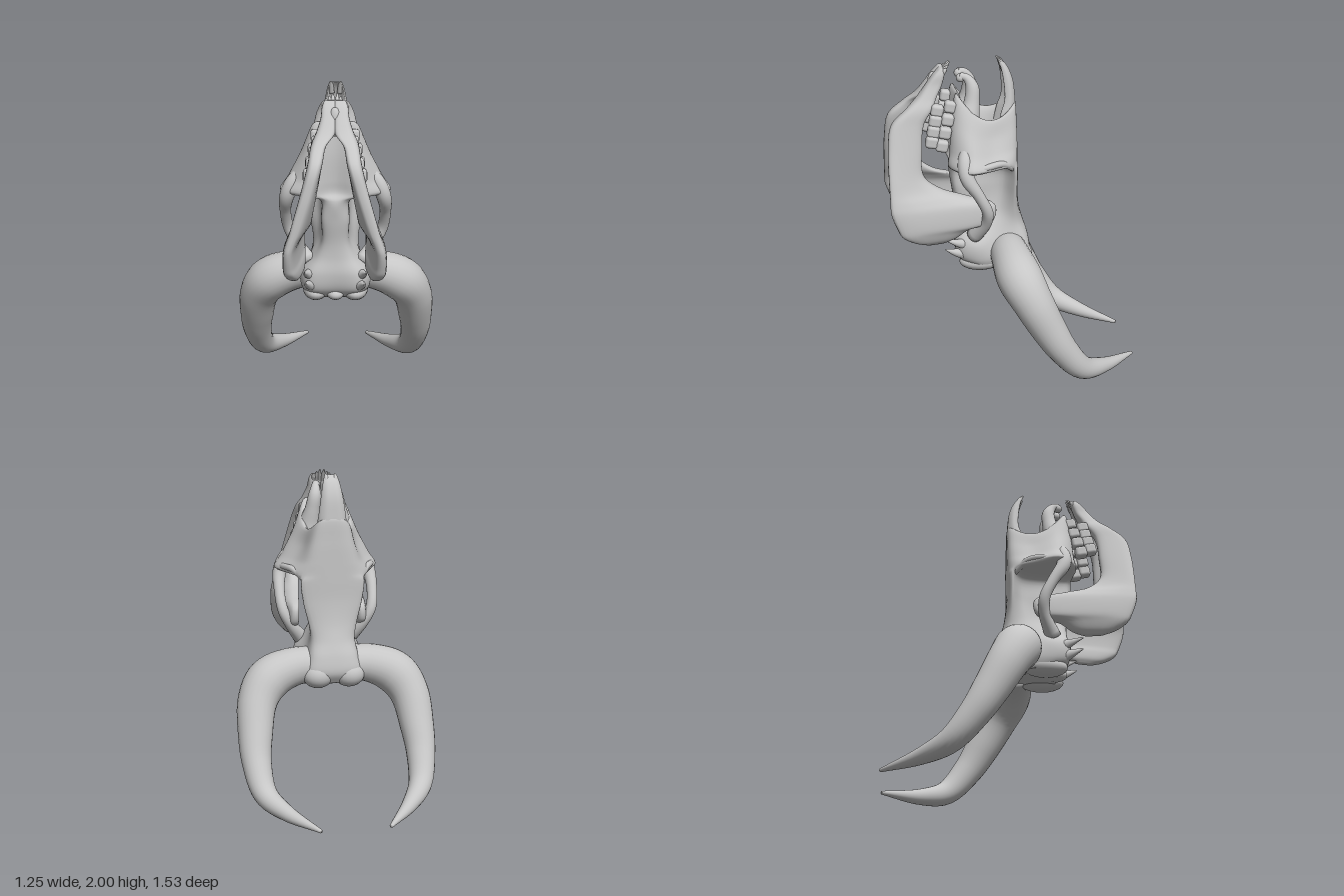
import * as THREE from 'three';
import { mergeVertices } from 'three/addons/utils/BufferGeometryUtils.js';
import { RoundedBoxGeometry } from 'three/addons/geometries/RoundedBoxGeometry.js';

const V = (x, y, z) => new THREE.Vector3(x, y, z);
const bone = new THREE.MeshStandardMaterial({ color: 0xc6c6c6 });
bone.name = 'bone';

// Closed surface through a list of rings of equal length, capped at both ends
function skin(rings) {
  const n = rings[0].length, pos = [], idx = [];
  rings.forEach(r => r.forEach(p => pos.push(p.x, p.y, p.z)));
  const last = rings.length - 1;
  for (let i = 0; i < last; i++) for (let j = 0; j < n; j++) {
    const a = i * n + j, b = i * n + (j + 1) % n;
    idx.push(a, b, b + n, a, b + n, a + n);
  }
  [0, last].forEach((row, k) => {
    const c = V(0, 0, 0);
    rings[row].forEach(p => c.addScaledVector(p, 1 / n));
    const ci = pos.length / 3;
    pos.push(c.x, c.y, c.z);
    for (let j = 0; j < n; j++) {
      const a = row * n + j, b = row * n + (j + 1) % n;
      if (k) idx.push(ci, a, b); else idx.push(ci, b, a);
    }
  });
  const g = new THREE.BufferGeometry();
  g.setAttribute('position', new THREE.Float32BufferAttribute(pos, 3));
  g.setIndex(idx);
  g.computeVertexNormals();
  return g;
}

// Tube with changing radius; each point is [x, y, z, radius]
function taper(pts, steps = 30, sides = 20) {
  const curve = new THREE.CatmullRomCurve3(pts.map(p => V(p[0], p[1], p[2])));
  const radius = new THREE.CatmullRomCurve3(pts.map((p, i) => V(i, p[3], 0)));
  const rings = [];
  let normal = null;
  for (let i = 0; i <= steps; i++) {
    const t = i / steps, c = curve.getPoint(t), d = curve.getTangent(t);
    if (!normal) normal = Math.abs(d.y) < 0.8 ? V(0, 1, 0) : V(0, 0, 1);
    normal = normal.clone().addScaledVector(d, -normal.dot(d)).normalize();
    const side = d.clone().cross(normal), r = radius.getPoint(t).y, ring = [];
    for (let j = 0; j < sides; j++) {
      const a = j / sides * Math.PI * 2;
      ring.push(c.clone().addScaledVector(normal, Math.cos(a) * r).addScaledVector(side, Math.sin(a) * r));
    }
    rings.push(ring);
  }
  return skin(rings);
}

// Smooth surface along a few key rings
function loft(rings, along) {
  const cols = rings[0].map((_, j) => new THREE.CatmullRomCurve3(rings.map(r => r[j])));
  const count = (rings.length - 1) * along;
  return skin(Array.from({ length: count + 1 }, (_, i) => cols.map(c => c.getPoint(i / count))));
}

// Loft of symmetric outlines: [y, backZ, x, z, x, z, x, z, x, z, frontZ]
function symmetricLoft(rows, around = 56, along = 6) {
  return loft(rows.map(([y, z0, ...r]) => {
    const z1 = r.pop(), half = [];
    for (let i = 0; i < r.length; i += 2) half.push(V(r[i], y, r[i + 1]));
    const other = half.map(p => V(-p.x, y, p.z)).reverse();
    const loop = new THREE.CatmullRomCurve3([V(0, y, z0), ...half, V(0, y, z1), ...other], true);
    return Array.from({ length: around }, (_, j) => loop.getPoint(j / around));
  }), along);
}

// Loft of flat blade sections: [y, backZ, frontZ, backX, frontX, halfThickness]
function bladeLoft(rows, around = 28, along = 5) {
  const soft = v => Math.sign(v) * Math.abs(v) ** 0.65;
  return loft(rows.map(([y, z0, z1, x0, x1, t]) => Array.from({ length: around }, (_, j) => {
    const a = j / around * Math.PI * 2, k = (1 - soft(Math.cos(a))) / 2;
    return V(x0 + (x1 - x0) * k + soft(Math.sin(a)) * t, y, z0 + (z1 - z0) * k);
  })), along);
}

// Mirrored copy across x = 0 with corrected winding
function mirror(g) {
  const m = g.index ? g.clone() : mergeVertices(g);
  m.scale(-1, 1, 1);
  const a = m.index.array;
  for (let i = 0; i < a.length; i += 3) [a[i], a[i + 1]] = [a[i + 1], a[i]];
  return m;
}

// Cranium from the hollow nose opening down to the poll
function cranium() {
  const g = symmetricLoft([
    [1.45, 0.04, 0.06, 0.05, 0.08, 0.12, 0.08, 0.2, 0.05, 0.24, 0.24],
    [1.63, 0.045, 0.07, 0.055, 0.11, 0.12, 0.12, 0.22, 0.08, 0.28, 0.29],
    [1.66, -0.01, 0.085, 0.01, 0.135, 0.12, 0.15, 0.25, 0.12, 0.34, 0.33],
    [1.56, -0.02, 0.12, 0.0, 0.17, 0.13, 0.22, 0.28, 0.14, 0.38, 0.36],
    [1.47, -0.02, 0.15, 0.0, 0.22, 0.14, 0.285, 0.29, 0.16, 0.4, 0.36],
    [1.395, -0.02, 0.18, 0.005, 0.27, 0.14, 0.325, 0.3, 0.17, 0.41, 0.36],
    [1.35, -0.02, 0.2, 0.005, 0.12, 0.08, 0.09, 0.25, 0.08, 0.37, 0.39],
    [1.22, -0.02, 0.185, 0.005, 0.1, 0.08, 0.085, 0.25, 0.075, 0.36, 0.38],
    [1.08, -0.035, 0.15, 0.0, 0.11, 0.1, 0.09, 0.25, 0.07, 0.34, 0.36],
    [0.98, -0.06, 0.13, -0.02, 0.14, 0.1, 0.14, 0.25, 0.1, 0.34, 0.36],
    [0.88, -0.09, 0.14, -0.06, 0.17, 0.1, 0.21, 0.25, 0.15, 0.36, 0.37],
    [0.78, -0.1, 0.16, -0.07, 0.19, 0.08, 0.21, 0.25, 0.15, 0.35, 0.35],
    [0.71, -0.06, 0.13, -0.04, 0.17, 0.1, 0.18, 0.22, 0.1, 0.28, 0.29]
  ]);
  // Saddle the nose opening: high at the nasal and snout ends, low between
  const p = g.attributes.position;
  for (let i = 0; i < p.count; i++) {
    const y = p.getY(i), w = THREE.MathUtils.clamp((y - 1.48) / 0.18, 0, 1);
    p.setY(i, y + w * 0.1 * ((p.getZ(i) - 0.14) / 0.16) ** 2);
  }
  g.computeVertexNormals();
  return g;
}

export function createModel() {
  const model = new THREE.Group();
  const add = (name, g) => {
    const m = new THREE.Mesh(g, bone);
    m.name = name;
    model.add(m);
  };
  const pair = (name, g) => {
    add('left' + name, g);
    add('right' + name, mirror(g));
  };
  const ball = (x, y, z, a, b, c) => new THREE.SphereGeometry(1, 24, 16).scale(a, b, c).translate(x, y, z);

  add('cranium', cranium());

  // Nasal plate narrowing to the tip, hollow on its inner face
  const nasal = [[2.0, 0.075, 0.038, 0.088], [1.96, 0.035, 0.05, 0.075], [1.88, 0.0, 0.066, 0.06],
    [1.76, -0.014, 0.084, 0.055], [1.68, -0.016, 0.095, 0.08], [1.58, -0.01, 0.11, 0.1]];
  add('nasalBone', symmetricLoft(nasal.map(([y, b, w, f]) =>
    [y, b, w * 0.6, b + 0.004, w, (b + f) / 2, w * 0.85, f, w * 0.4, b + (f - b) * 0.6, b + (f - b) * 0.5])));
  pair('NasalTip', taper([[0.025, 1.93, 0.05, 0.018], [0.028, 1.98, 0.07, 0.014], [0.03, 2.005, 0.09, 0.004]], 10, 10));

  // Poll lobes, base of the skull and the short spurs beside it
  pair('PollLobe', ball(0.1, 0.76, -0.02, 0.1, 0.085, 0.09));
  pair('OccipitalLobe', ball(0.12, 0.74, 0.21, 0.08, 0.06, 0.14));
  add('occipitalCondyle', ball(0, 0.74, 0.29, 0.055, 0.04, 0.07));
  pair('UpperSpur', taper([[0.13, 0.86, 0.28, 0.05], [0.17, 0.89, 0.37, 0.022], [0.18, 0.92, 0.44, 0.005]], 12, 12));
  pair('LowerSpur', taper([[0.12, 0.79, 0.28, 0.05], [0.16, 0.82, 0.37, 0.026], [0.17, 0.85, 0.44, 0.005]], 12, 12));

  // Cheek arches and socket rims
  pair('CheekArch', taper([[0.19, 1.53, 0.3, 0.03], [0.25, 1.45, 0.32, 0.045], [0.288, 1.36, 0.315, 0.044],
    [0.3, 1.25, 0.25, 0.034], [0.285, 1.13, 0.195, 0.034], [0.24, 1.04, 0.2, 0.036], [0.16, 0.93, 0.26, 0.05]]));
  pair('SocketRim', taper([[0.17, 1.36, 0.02, 0.02], [0.235, 1.415, 0.1, 0.02], [0.28, 1.415, 0.2, 0.02],
    [0.29, 1.4, 0.3, 0.02]], 20, 12));

  // Hooked snout bones
  pair('SnoutBone', taper([[0.11, 1.53, 0.28, 0.075], [0.1, 1.66, 0.28, 0.07], [0.085, 1.76, 0.255, 0.048],
    [0.07, 1.85, 0.25, 0.04], [0.06, 1.905, 0.28, 0.025], [0.05, 1.915, 0.32, 0.022]]));
  pair('SnoutKnob', ball(0.05, 1.905, 0.315, 0.027, 0.027, 0.027));

  // Lower jaw: joined at the chin, arms splaying out to the hinge
  pair('Jaw', bladeLoft([
    [1.965, 0.415, 0.44, 0.03, 0.03, 0.03],
    [1.93, 0.41, 0.475, 0.034, 0.034, 0.04],
    [1.87, 0.425, 0.52, 0.038, 0.038, 0.044],
    [1.8, 0.46, 0.575, 0.052, 0.052, 0.054],
    [1.74, 0.49, 0.645, 0.092, 0.09, 0.043],
    [1.65, 0.545, 0.74, 0.108, 0.112, 0.042],
    [1.5, 0.562, 0.766, 0.13, 0.155, 0.043],
    [1.34, 0.558, 0.77, 0.155, 0.205, 0.043],
    [1.26, 0.47, 0.77, 0.165, 0.23, 0.043],
    [1.205, 0.3, 0.77, 0.19, 0.25, 0.042],
    [1.15, 0.14, 0.768, 0.21, 0.265, 0.042],
    [1.05, 0.15, 0.735, 0.215, 0.268, 0.045],
    [1.0, 0.3, 0.71, 0.21, 0.262, 0.045],
    [0.95, 0.37, 0.64, 0.205, 0.245, 0.035],
    [0.92, 0.44, 0.56, 0.21, 0.23, 0.015]
  ]));
  add('chin', ball(0, 1.85, 0.475, 0.04, 0.085, 0.035));
  for (let i = 0; i < 3; i++) {
    const x = 0.012 + i * 0.018;
    pair('Incisor' + (i + 1), taper([[x, 1.88, 0.45, 0.014], [x, 1.95, 0.41, 0.014],
      [x * 1.1, 1.995 - i * 0.015, 0.375 + i * 0.01, 0.004]], 10, 10));
  }

  // Cheek teeth, upper and lower rows
  for (let i = 0; i < 4; i++) {
    const t = i / 3;
    const tooth = (x, y, z) => new RoundedBoxGeometry(0.065, 0.072, 0.075, 3, 0.02).rotateX(-0.2).translate(x, y, z);
    pair('LowerTooth' + (i + 1), tooth(0.105 + 0.045 * t, 1.73 - 0.18 * t, 0.465 + 0.04 * t));
    pair('UpperTooth' + (i + 1), tooth(0.11 + 0.045 * t, 1.75 - 0.225 * t, 0.385 + 0.06 * t));
  }

  // Horns sweeping out, down and back to inward tips
  pair('Horn', taper([[0.08, 0.81, 0.05, 0.11], [0.25, 0.8, 0.045, 0.123], [0.405, 0.735, 0.02, 0.139],
    [0.485, 0.62, -0.04, 0.125], [0.515, 0.43, -0.14, 0.108], [0.52, 0.28, -0.23, 0.092],
    [0.487, 0.125, -0.36, 0.074], [0.385, 0.062, -0.52, 0.05], [0.21, 0.028, -0.755, 0.011]], 48, 24));

  return model;
}
